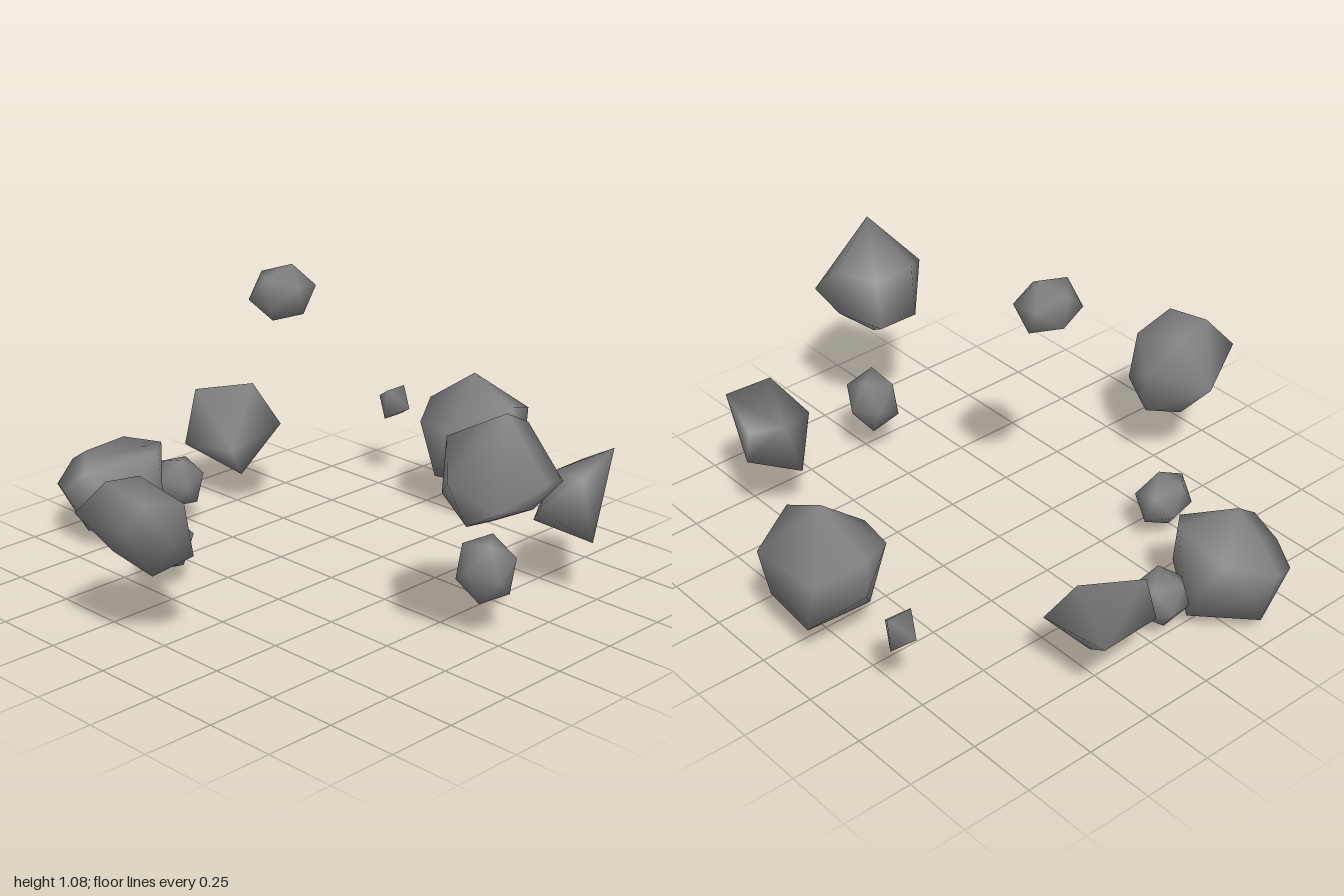
import * as THREE from 'three';
import { mergeVertices } from 'three/addons/utils/BufferGeometryUtils.js';
import { ConvexGeometry } from 'three/addons/geometries/ConvexGeometry.js';

// Share the corners of a low-poly solid so its shading runs smoothly over the facets
function smooth(geometry) {
  geometry.deleteAttribute('normal');
  geometry.deleteAttribute('uv');
  const g = mergeVertices(geometry, 1e-4);
  g.computeVertexNormals();
  return g;
}

export function createModel() {
  const group = new THREE.Group();
  const stone = new THREE.MeshStandardMaterial({ color: 0x808080 });
  stone.name = 'stone grey';

  const add = (name, geometry) => {
    const mesh = new THREE.Mesh(smooth(geometry), stone);
    mesh.name = name;
    group.add(mesh);
    return mesh;
  };
  // Angular rock wrapped around a few corner points
  const rock = (name, ...corners) =>
    add(name, new ConvexGeometry(corners.map((c) => new THREE.Vector3(...c))));
  // Rounded pebble: a unit solid fitted to a centre and half sizes
  const pebble = (name, solid, [x, y, z], [sx, sy, sz]) => {
    solid.computeBoundingBox();
    const b = solid.boundingBox.max;
    solid.scale(sx / b.x, sy / b.y, sz / b.z);
    add(name, solid).position.set(x, y, z);
  };

  // Large rocks
  rock('leftRock',
    [0.78, 0.54, -0.055], [0.96, 0.39, 0.05], [0.93, 0.37, -0.2], [0.91, 0.155, -0.13],
    [0.9, 0.17, 0.08], [0.67, 0.15, -0.14], [0.67, 0.17, 0.08], [0.59, 0.37, -0.02],
    [0.61, 0.37, -0.16], [0.73, 0.29, 0.155], [0.76, 0.28, -0.245], [0.75, 0.41, -0.24],
    [0.79, 0.45, 0.12]);
  rock('frontRock',
    [-0.14, 0.85, 0.875], [0.075, 0.745, 0.78], [0.07, 0.575, 0.78], [-0.07, 0.455, 0.77],
    [-0.225, 0.49, 0.8], [-0.305, 0.65, 0.79], [-0.09, 0.64, 1], [-0.245, 0.57, 0.935],
    [0.055, 0.6, 0.94], [-0.09, 0.55, 0.945], [-0.01, 0.72, 0.66], [-0.165, 0.73, 0.66],
    [-0.01, 0.54, 0.645], [-0.165, 0.54, 0.645]);
  rock('rightRock',
    [-0.885, 0.57, -0.095], [-0.88, 0.54, 0.08], [-0.745, 0.55, -0.1], [-0.72, 0.5, 0.08],
    [-0.635, 0.425, -0.05], [-0.645, 0.27, -0.05], [-0.765, 0.235, -0.03], [-0.92, 0.37, -0.03],
    [-0.96, 0.47, 0.07], [-0.96, 0.47, -0.16], [-0.835, 0.42, 0.16], [-0.695, 0.32, 0.09],
    [-0.76, 0.4, -0.25], [-0.74, 0.26, -0.13]);
  rock('backRock',
    [-0.39, 0.345, -0.74], [-0.22, 0.345, -0.64], [-0.16, 0.355, -0.69], [-0.12, 0.2, -0.84],
    [-0.16, 0.32, -0.9], [-0.35, 0.32, -0.88], [-0.49, 0.22, -0.83], [-0.485, 0.2, -0.71],
    [-0.46, 0.3, -0.75], [-0.43, 0.2, -0.945], [-0.315, 0.25, -1], [-0.19, 0.22, -0.99],
    [-0.255, 0, -0.8], [-0.13, 0.06, -0.78], [-0.43, 0.07, -0.78], [-0.3, 0.055, -0.95],
    [-0.25, 0.03, -0.65], [-0.38, 0.15, -0.61], [-0.22, 0.15, -0.62]);

  // Sharp wedge-shaped rocks
  rock('backWedge',
    [0.105, 0.23, -0.87], [0.17, 0.425, -0.88], [0.355, 0.43, -0.77], [0.4, 0.31, -0.945],
    [0.41, 0.28, -0.68], [0.26, 0.105, -0.735], [0.19, 0.22, -0.705]);
  rock('frontWedge',
    [0.61, 0.5, 0.71], [0.445, 0.225, 0.765], [0.46, 0.225, 0.5], [0.655, 0.33, 0.54],
    [0.325, 0.34, 0.635], [0.4, 0.46, 0.75], [0.5, 0.4, 0.54], [0.62, 0.42, 0.57]);

  // Small pebbles
  const round = (turn) => new THREE.IcosahedronGeometry(1, 0).rotateZ(turn).rotateX(turn / 2);
  pebble('topPebble', round(0.3), [-0.057, 0.988, -0.172], [0.098, 0.094, 0.095]);
  pebble('frontPebble', round(0.9), [0.015, 0.24, 0.677], [0.098, 0.102, 0.097]);
  pebble('rightPebble', round(0.5), [-0.44, 0.152, -0.355], [0.098, 0.1, 0.084]);
  pebble('backPebble', round(0.7), [-0.048, 0.16, -0.738], [0.096, 0.096, 0.092]);
  // Tiny chip: two square pyramids joined base to base
  pebble('leftChip', new THREE.OctahedronGeometry(1, 0).rotateZ(Math.PI / 4).rotateX(0.1),
    [0.807, 0.318, -0.475], [0.046, 0.057, 0.077]);

  return group;
}
